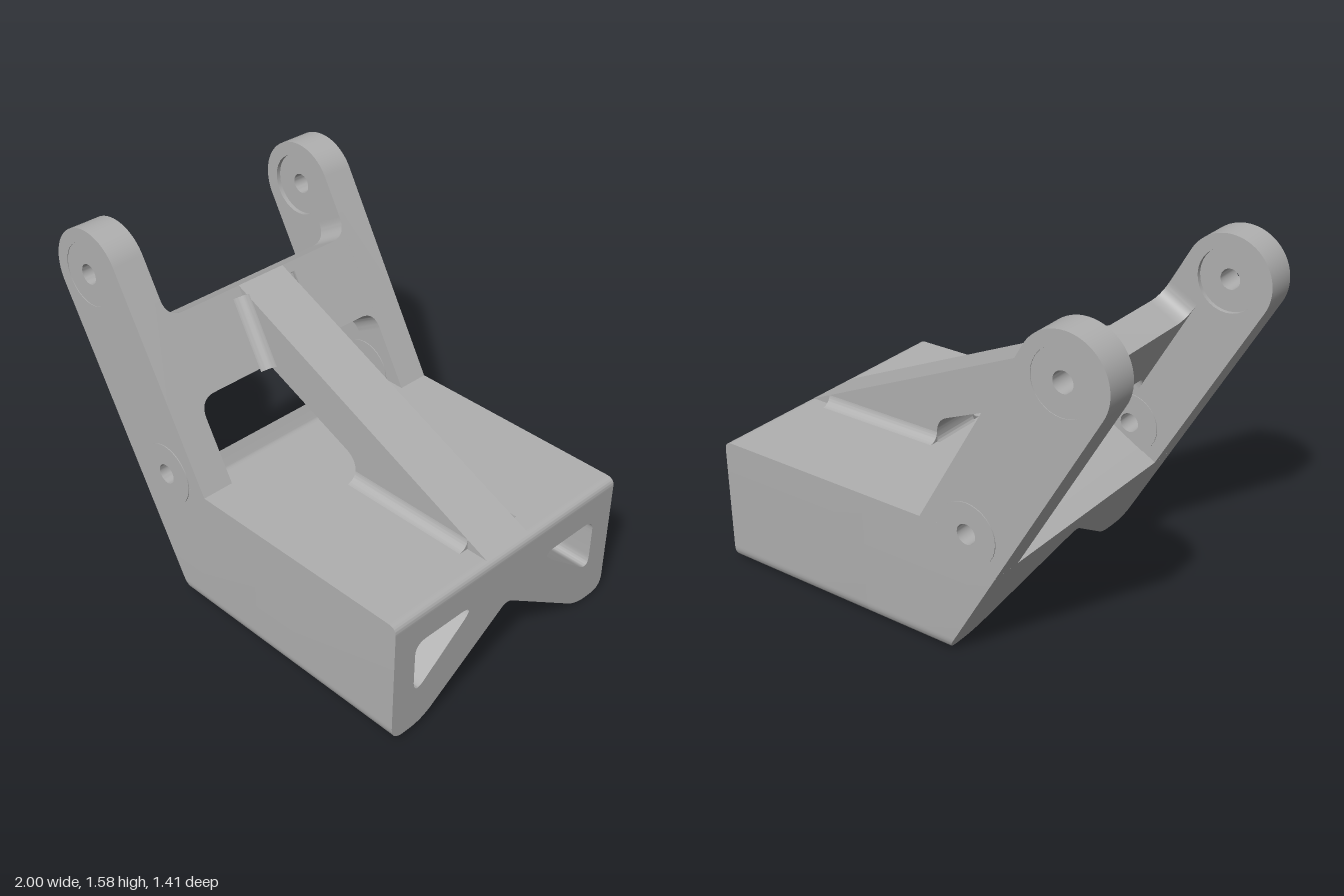
import * as THREE from 'three';
import { toCreasedNormals } from 'three/addons/utils/BufferGeometryUtils.js';

const metal = new THREE.MeshStandardMaterial({ color: 0xb0b0b0 });
metal.name = 'grey metal';

const HALF = 0.66, ARM = 0.15, INNER = HALF - ARM;
const TOP = 0.6, BASE = 0.01, SPLIT = 0.4425;
const UPPER = [-0.778, 1.37], LOWER = [-0.338, 0.6];
const backX = (y) => -0.2177 - 0.5774 * y; // sloping rear plane

// Polygon from [x, y, cornerRadius] points
function poly(points, PathType = THREE.Shape) {
  const path = new PathType();
  const n = points.length;
  points.forEach(([x, y, r = 0], i) => {
    const toward = ([px, py]) => {
      const d = Math.hypot(px - x, py - y);
      return [x + ((px - x) * r) / d, y + ((py - y) * r) / d];
    };
    const a = toward(points[(i + n - 1) % n]);
    const b = toward(points[(i + 1) % n]);
    if (i === 0) path.moveTo(...a);
    else path.lineTo(...a);
    if (r) path.quadraticCurveTo(x, y, ...b);
  });
  path.closePath();
  return path;
}

function circle(PathType, [x, y], r) {
  const path = new PathType();
  path.absarc(x, y, r, 0, Math.PI * 2, false);
  return path;
}

function extrude(shape, depth, z = 0) {
  return new THREE.ExtrudeGeometry(shape, { depth, bevelEnabled: false, curveSegments: 16 }).translate(0, 0, z);
}

function add(parent, name, geometry) {
  const mesh = new THREE.Mesh(toCreasedNormals(geometry, 0.5), metal);
  mesh.name = name;
  parent.add(mesh);
  return mesh;
}

// End section of the base with the V channel underneath
function section(top) {
  return poly([
    [-HALF, top], [-HALF, BASE, 0.07], [-0.49, BASE, 0.07], [0, 0.335, 0.04],
    [0.49, BASE, 0.07], [HALF, BASE, 0.07], [HALF, top],
  ]);
}

// Concave corner strip
function fillet(r, length) {
  const shape = new THREE.Shape();
  shape.moveTo(0, 0);
  shape.lineTo(r, 0);
  shape.quadraticCurveTo(r * 0.15, r * 0.15, 0, r);
  shape.closePath();
  return extrude(shape, length);
}

function ring(radius, thickness, [x, y], z) {
  const shape = circle(THREE.Shape, [0, 0], radius);
  shape.holes.push(circle(THREE.Path, [0, 0], 0.045));
  return extrude(shape, thickness).translate(x, y, z);
}

export function createModel() {
  const root = new THREE.Group();
  root.name = 'bracket';
  const body = new THREE.Group();
  body.name = 'bracketBody';
  body.rotation.set(-0.015, -0.034, 0);
  root.add(body);

  // Base: front block with two deep triangular pockets
  const front = section(0.56);
  for (const s of [-1, 1]) {
    front.holes.push(poly([[s * 0.2, 0.445, 0.09], [s * 0.545, 0.445, 0.06], [s * 0.545, 0.175, 0.08]], THREE.Path));
  }
  add(body, 'pocketBlock', extrude(front, 0.778, 0.2).rotateY(Math.PI / 2));

  // Base: rear block, its back cap pushed onto the sloping plane
  const rear = extrude(section(SPLIT), 0.2);
  const p = rear.attributes.position;
  for (let i = 0; i < p.count; i++) if (p.getZ(i) < 0.01) p.setZ(i, backX(p.getY(i)));
  add(body, 'rearBlock', rear.rotateY(Math.PI / 2));

  // Base: top slab with rounded front edge and sloped recess floor
  add(body, 'topSlab', extrude(poly([
    [-0.473, SPLIT], [0.2, SPLIT], [0.2, 0.56], [0.978, 0.56], [0.978, TOP, 0.039], [-0.2, TOP, 0.02],
  ]), HALF * 2, -HALF));

  // Two slanted arms with bored ends
  const arm = new THREE.Shape();
  arm.moveTo(-0.473, SPLIT);
  arm.lineTo(-0.2, TOP);
  arm.lineTo(-0.103, TOP);
  arm.lineTo(-0.605, 1.47);
  arm.absarc(...UPPER, 0.2, Math.PI / 6, Math.PI * 7 / 6, false);
  arm.closePath();
  arm.holes.push(circle(THREE.Path, UPPER, 0.14), circle(THREE.Path, LOWER, 0.045));
  for (const s of [1, -1]) {
    const side = new THREE.Group();
    side.name = s > 0 ? 'frontArm' : 'backArm';
    side.scale.z = s;
    add(side, 'armPlate', extrude(arm, ARM, INNER));
    add(side, 'upperBushing', ring(0.14, ARM - 0.023, UPPER, INNER + 0.02));
    add(side, 'lowerBushingOuter', ring(0.14, 0.004, LOWER, HALF));
    add(side, 'lowerBushingInner', ring(0.14, 0.004, LOWER, INNER - 0.004));
    body.add(side);
  }

  // Crossbar lying in the arms' front plane
  const slope = new THREE.Group();
  slope.name = 'crossbarGroup';
  slope.position.set(-0.103, TOP, 0);
  slope.quaternion.setFromRotationMatrix(new THREE.Matrix4().makeBasis(
    new THREE.Vector3(0, 0, -1),
    new THREE.Vector3(-0.5, Math.sqrt(0.75), 0),
    new THREE.Vector3(Math.sqrt(0.75), 0.5, 0),
  ));
  body.add(slope);
  const e = INNER, o = INNER + 0.01;
  add(slope, 'crossbar', extrude(poly([
    [-o, 0.83], [-o, 0.28], [-e, 0.28], [-e, 0.375, 0.085], [e, 0.375, 0.085], [e, 0.28],
    [o, 0.28], [o, 0.83], [e, 0.83], [e, 0.733, 0.085], [-e, 0.733, 0.085], [-e, 0.83],
  ]), 0.15, -0.15));

  // Central diagonal rib
  add(body, 'rib', extrude(poly([
    [-0.47, 1.235], [-0.294, 0.93], [0.235, 0.705, 0.06], [0.235, TOP, 0.03], [0.2, TOP - 0.01],
    [0.94, TOP - 0.01], [0.955, TOP],
  ]), 0.25, -0.125));

  // Blends at the rib's sides
  for (const s of [-1, 1]) {
    const low = add(body, 'ribBaseFillet', fillet(0.045, 0.62));
    low.position.set(0.235, TOP, -s * 0.125);
    low.rotation.y = Math.PI / 2;
    low.scale.x = s;
    const high = add(slope, 'ribCrossbarFillet', fillet(0.05, 0.33));
    high.position.set(s * 0.125, 0.69, 0);
    high.rotation.x = Math.PI / 2;
    high.scale.x = s;
  }
  return root;
}
